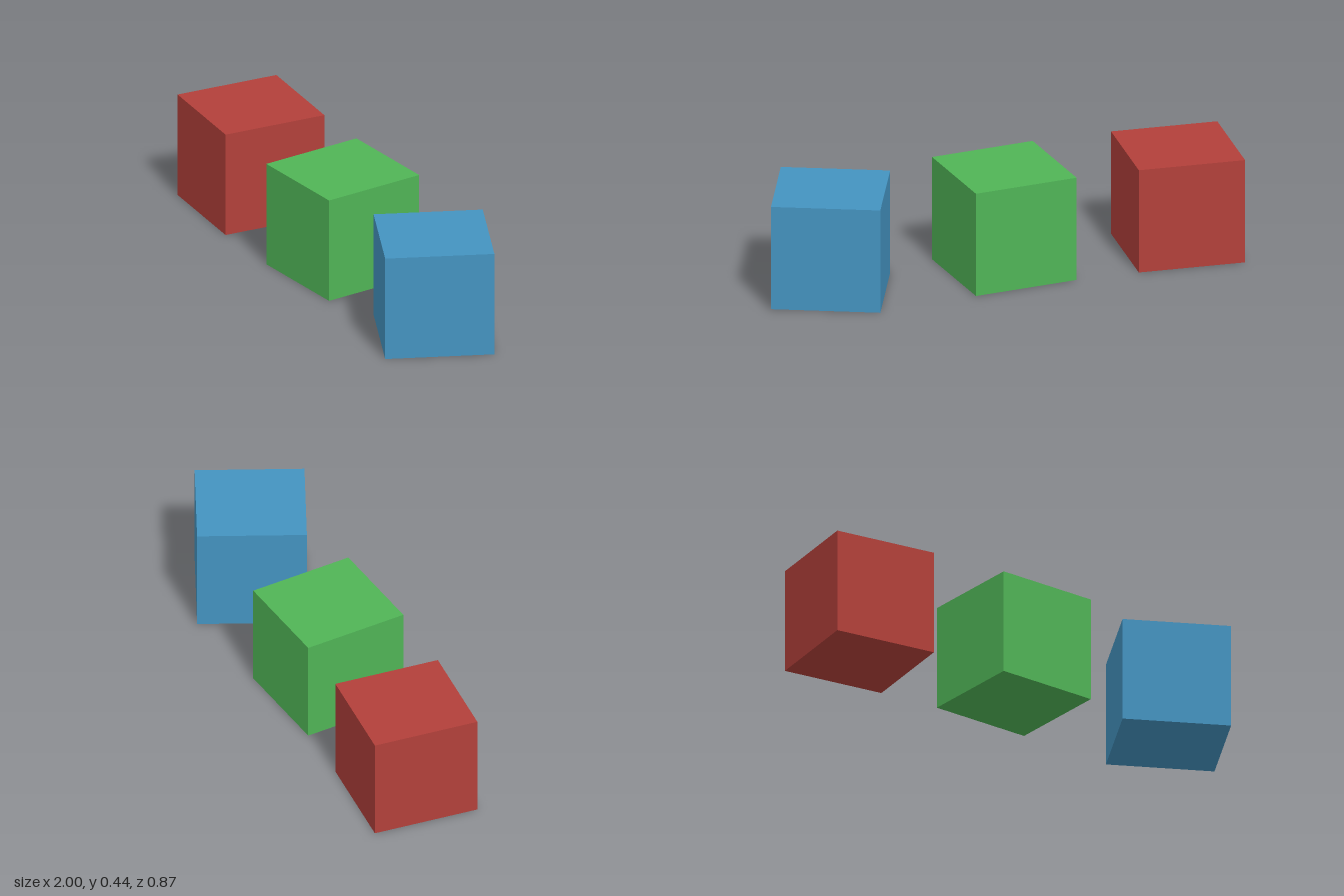
import * as THREE from 'three';

const SIZE = 0.436;

// name, colour, centre x, centre z, turn about y
const CUBES = [
  ['redCube', 0xb2403a, -0.731, -0.168, -0.276],
  ['greenCube', 0x50b456, -0.018, -0.02, -0.12],
  ['blueCube', 0x4493c0, 0.694, 0.13, -0.622],
];

export function createModel() {
  const model = new THREE.Group();
  model.name = 'cubes';
  const geometry = new THREE.BoxGeometry(SIZE, SIZE, SIZE);

  // Three equal cubes standing on the ground, each turned differently
  for (const [name, color, x, z, turn] of CUBES) {
    const cube = new THREE.Mesh(geometry, new THREE.MeshStandardMaterial({ color }));
    cube.name = name;
    cube.position.set(x, SIZE / 2, z);
    cube.rotation.y = turn;
    model.add(cube);
  }
  return model;
}
